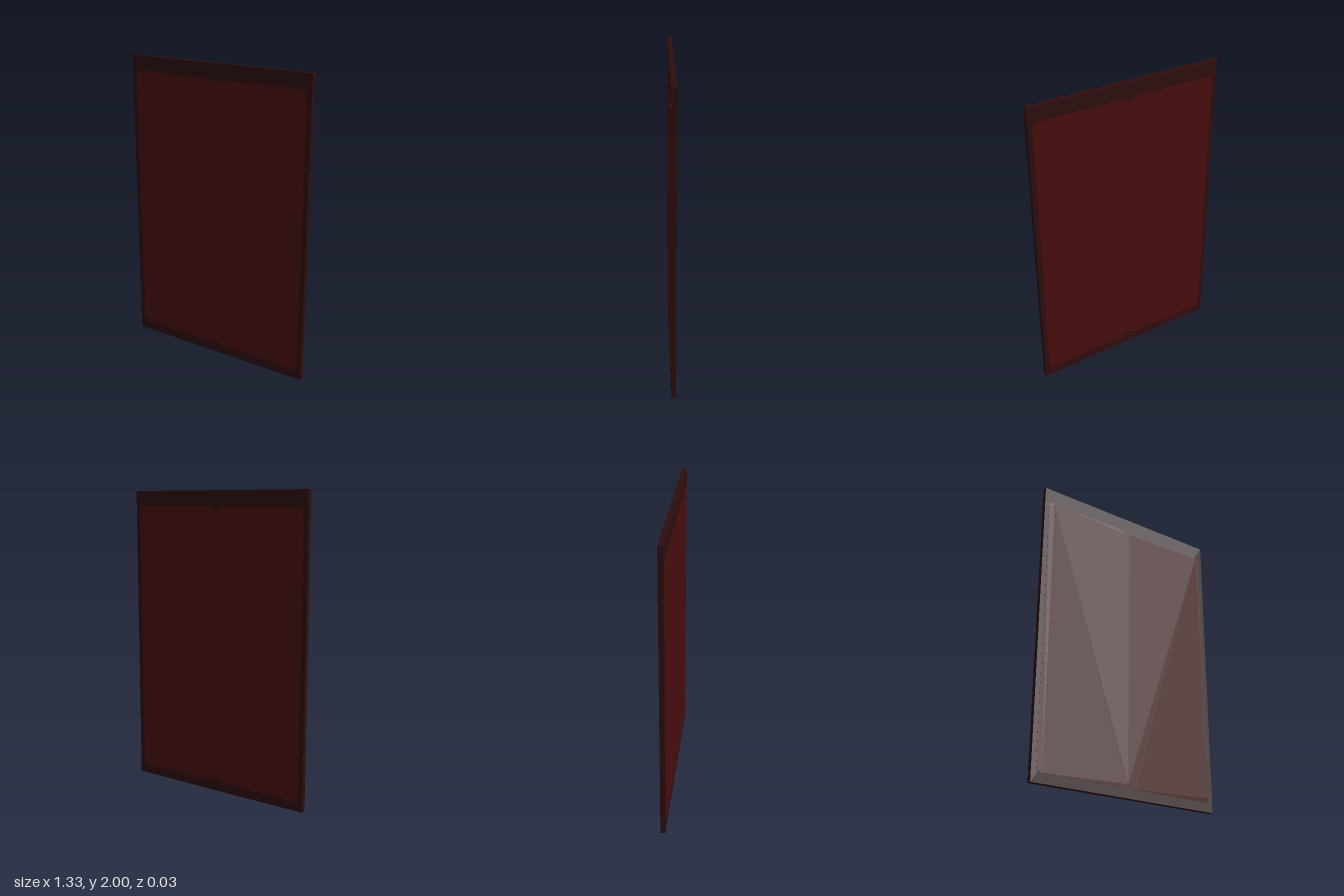
import * as THREE from 'three';

const WIDTH = 1.333, HEIGHT = 2, DEPTH = 0.034;
const PLATE = 0.001; // thickness of the inlaid panels

// Rounded rectangle with a small cusp in the middle of its top and bottom edges
function panelShape() {
  const x = 0.635, bottom = 0.062, top = 1.9, r = 0.04;
  const s = new THREE.Shape();
  s.moveTo(-x + r, bottom);
  s.lineTo(-0.06, bottom);
  s.quadraticCurveTo(-0.025, bottom + 0.002, -0.015, bottom + 0.024);
  s.quadraticCurveTo(0, bottom + 0.034, 0.015, bottom + 0.024);
  s.quadraticCurveTo(0.025, bottom + 0.002, 0.06, bottom);
  s.lineTo(x - r, bottom);
  s.quadraticCurveTo(x, bottom, x, bottom + r);
  s.lineTo(x, top - r);
  s.quadraticCurveTo(x, top, x - r, top);
  s.lineTo(0.04, top);
  s.quadraticCurveTo(0.03, top - 0.012, 0.02, top - 0.019);
  s.quadraticCurveTo(0, top - 0.03, -0.02, top - 0.019);
  s.quadraticCurveTo(-0.03, top - 0.012, -0.04, top);
  s.lineTo(-x + r, top);
  s.quadraticCurveTo(-x, top, -x, top - r);
  s.lineTo(-x, bottom + r);
  s.quadraticCurveTo(-x, bottom, -x + r, bottom);
  return s;
}

export function createModel() {
  const model = new THREE.Group();
  model.name = 'panelBoard';

  const frameMaterial = new THREE.MeshStandardMaterial({ color: 0x2e0d0f });
  frameMaterial.name = 'dark maroon';
  const panelMaterial = new THREE.MeshStandardMaterial({ color: 0x480d0d });
  panelMaterial.name = 'deep red';

  // Slab forming the border and edges
  const core = DEPTH - 2 * PLATE;
  const frame = new THREE.Mesh(new THREE.BoxGeometry(WIDTH, HEIGHT, core), frameMaterial);
  frame.name = 'frame';
  frame.position.y = HEIGHT / 2;
  model.add(frame);

  // Matching inlaid panel on each face
  const panelGeometry = new THREE.ExtrudeGeometry(panelShape(), {
    depth: PLATE, bevelEnabled: false, curveSegments: 8,
  });
  for (const side of ['front', 'back']) {
    const panel = new THREE.Mesh(panelGeometry, panelMaterial);
    panel.name = side + 'Panel';
    panel.position.z = side === 'front' ? core / 2 : -core / 2;
    if (side === 'back') panel.rotation.y = Math.PI;
    model.add(panel);
  }
  return model;
}
